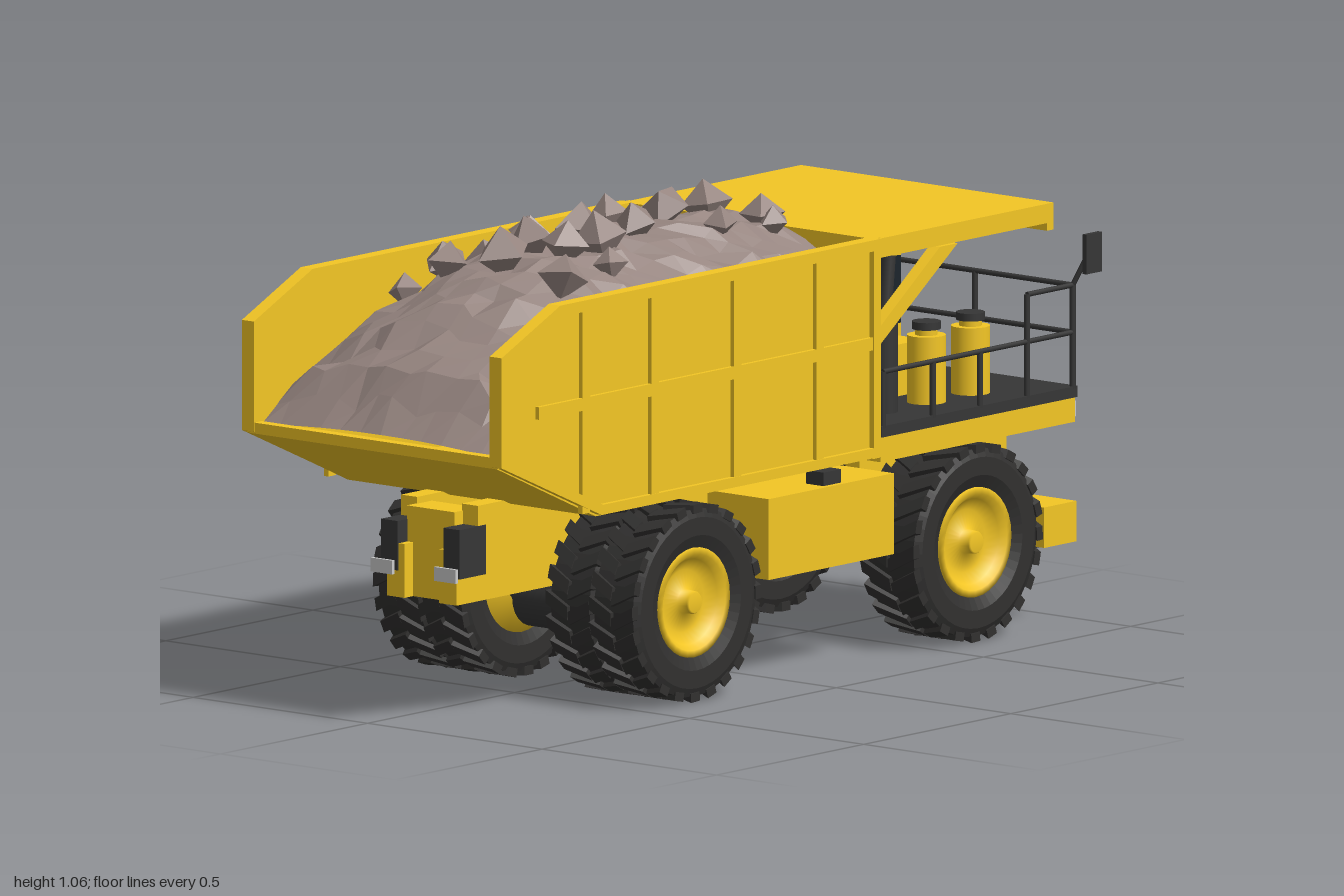
import * as THREE from 'three';
import { mergeGeometries } from 'three/addons/utils/BufferGeometryUtils.js';

const mat = (color, extra = {}) => new THREE.MeshStandardMaterial({ color, ...extra });
const yellow = mat(0xf3c625), dark = mat(0x363636), rubber = mat(0x31302f, { flatShading: true });
const glass = mat(0x1c252b), pale = mat(0xcccccc);
const rock = mat(0x978681, { flatShading: true, side: THREE.DoubleSide });
const hash = (i, j) => { const s = Math.sin(i * 127.1 + j * 311.7) * 43758.5453; return s - Math.floor(s); };

function mesh(parent, name, geo, material) {
  const m = new THREE.Mesh(geo, material);
  m.name = name;
  parent.add(m);
  return m;
}
// Box given by its limits
function box(parent, name, material, x0, x1, y0, y1, z0, z1) {
  const g = new THREE.BoxGeometry(x1 - x0, y1 - y0, z1 - z0);
  g.translate((x0 + x1) / 2, (y0 + y1) / 2, (z0 + z1) / 2);
  return mesh(parent, name, g, material);
}
// Round bar between two points
function bar(parent, name, material, a, b, r, sides = 8) {
  const A = new THREE.Vector3(...a), B = new THREE.Vector3(...b), d = B.clone().sub(A);
  const m = mesh(parent, name, new THREE.CylinderGeometry(r, r, d.length(), sides), material);
  m.position.copy(A).add(B).multiplyScalar(0.5);
  m.quaternion.setFromUnitVectors(new THREE.Vector3(0, 1, 0), d.normalize());
  return m;
}
// Side profile of [z, y] points stretched from x0 to x1
function profile(parent, name, material, pts, x0, x1, hole) {
  const shape = new THREE.Shape(pts.map(p => new THREE.Vector2(...p)));
  if (hole) shape.holes.push(new THREE.Path(hole.map(p => new THREE.Vector2(...p))));
  const g = new THREE.ExtrudeGeometry(shape, { depth: x1 - x0, bevelEnabled: false });
  g.rotateY(-Math.PI / 2).translate(x1, 0, 0);
  return mesh(parent, name, g, material);
}
// Limits in x on one side of the truck
const spanOf = s => (a, b) => s > 0 ? [a, b] : [-b, -a];

// Tyre with slanted lugs, axis along x, outer face at +x
function tyre(parent, w) {
  const h = w / 2, R = 0.209;
  const pts = [[0.118, -h * 0.8], [0.15, -h], [0.19, -h], [R, -h * 0.88], [R, h * 0.88], [0.19, h], [0.15, h], [0.118, h * 0.8], [0.118, -h * 0.8]];
  const carcass = new THREE.LatheGeometry(pts.map(p => new THREE.Vector2(...p)), 44).rotateZ(-Math.PI / 2);
  mesh(parent, 'tyre', carcass, rubber);
  const lugs = [];
  for (let i = 0; i < 24; i++) for (const s of [-1, 1]) {
    const g = new THREE.BoxGeometry(h * 0.98, 0.02, 0.03);
    const p = g.attributes.position;
    for (let k = 0; k < p.count; k++) p.setZ(k, p.getZ(k) - s * p.getX(k) * 0.5);
    g.translate(s * h * 0.5, R, 0).computeVertexNormals();
    lugs.push(g.rotateX(((i + (s > 0 ? 0.2 : 0)) / 24) * Math.PI * 2));
  }
  mesh(parent, 'treadLugs', mergeGeometries(lugs), rubber);
}
// Rim with dished disc and hub
function rim(parent, w) {
  const pts = [[0, -0.004], [0.022, -0.004], [0.025, -0.008], [0.027, -0.034], [0.07, -0.04], [0.095, -0.022], [0.107, -0.008], [0.122, -0.008], [0.122, -w + 0.008], [0, -w + 0.008]];
  const g = new THREE.LatheGeometry(pts.map(p => new THREE.Vector2(...p)).reverse(), 32).rotateZ(-Math.PI / 2).translate(w / 2, 0, 0);
  mesh(parent, 'rim', g, yellow);
}
function wheel(parent, name, side, x, z, w) {
  const g = new THREE.Group();
  g.name = name;
  tyre(g, w);
  rim(g, w);
  g.position.set(side * x, 0.22, z);
  if (side < 0) g.rotation.y = Math.PI;
  parent.add(g);
}

// Height of the load
const ridge = [[-0.3, 0.95], [-0.1, 0.985], [0.25, 0.98], [0.52, 0.96], [0.7, 0.89], [0.86, 0.775], [0.98, 0.625]];
function heapHeight(x, z) {
  let k = 0;
  while (k < ridge.length - 2 && z > ridge[k + 1][0]) k++;
  const [a, b] = [ridge[k], ridge[k + 1]];
  const y = a[1] + (b[1] - a[1]) * (z - a[0]) / (b[0] - a[0]);
  return y - 0.15 * Math.pow(Math.abs(x) / 0.34, 2.2) * Math.max(0, (y - 0.6) / 0.35);
}

function addLoad(t) {
  const nx = 12, nz = 24, g = new THREE.PlaneGeometry(0.69, 1.25, nx, nz).rotateX(-Math.PI / 2).translate(0, 0, 0.345);
  const p = g.attributes.position;
  for (let i = 0; i < p.count; i++) {
    const c = i % (nx + 1), r = Math.floor(i / (nx + 1)), inner = c > 0 && c < nx && r > 0 && r < nz ? 1 : 0;
    const x = p.getX(i) + inner * (hash(c, r) - 0.5) * 0.03, z = p.getZ(i) + inner * (hash(r, c + 40) - 0.5) * 0.03;
    p.setXYZ(i, x, heapHeight(x, z) + inner * (hash(c + 9, r + 5) - 0.5) * 0.035, z);
  }
  g.computeVertexNormals();
  mesh(t, 'rockHeap', g, rock);
  const spots = [[-0.28, -0.22], [-0.2, -0.19], [-0.07, -0.22], [0.09, -0.22], [0.14, -0.2], [0.13, -0.03], [-0.02, -0.02], [-0.14, 0.03], [0.04, 0.15], [-0.26, 0.3], [-0.16, 0.27], [-0.12, 0.33], [-0.01, 0.28], [0.07, 0.31], [0.17, 0.39], [-0.05, 0.4], [0.05, 0.4], [-0.3, 0.53], [-0.2, 0.51], [-0.16, 0.55], [-0.02, 0.53], [0.16, 0.54]];
  spots.forEach(([x, z], i) => {
    const s = 0.036 + 0.03 * hash(i, 3);
    const m = mesh(t, 'boulder', new THREE.OctahedronGeometry(s), rock);
    m.position.set(x, heapHeight(x, z) + 0.025, z);
    m.rotation.set(hash(i, 1) * 0.7 - 0.35, hash(i, 2) * 3, hash(i, 4) * 0.7 - 0.35);
    m.scale.set(1.1, 0.8 + 0.25 * hash(i, 6), 1);
  });
}

function addBed(t) {
  const outline = [[-0.29, 0.46], [0.66, 0.46], [1, 0.61], [1, 0.855], [0.8, 0.945], [-0.29, 0.945]];
  const inset = [[-0.265, 0.482], [0.655, 0.482], [0.978, 0.625], [0.978, 0.84], [0.795, 0.92], [-0.265, 0.92]];
  for (const s of [-1, 1]) {
    const span = spanOf(s);
    profile(t, 'bedSide', yellow, outline, ...span(0.34, 0.36));
    profile(t, 'bedSideFrame', yellow, outline, ...span(0.338, 0.372), inset);
    for (const z of [0.71, 0.475, 0.195, -0.085])
      box(t, 'bedRib', yellow, ...span(0.358, 0.37), 0.47, 0.935, z - 0.013, z + 0.013);
    box(t, 'bedSideStrip', yellow, ...span(0.358, 0.37), 0.7, 0.728, -0.28, 0.87);
    box(t, 'underRail', yellow, ...span(0.064, 0.11), 0.37, 0.465, -0.23, 0.77);
    // Canopy brace
    profile(t, 'canopyBrace', yellow, [[-0.3, 0.7], [-0.3, 0.74], [-0.51, 0.895], [-0.57, 0.895]], ...span(0.325, 0.355));
  }
  profile(t, 'bedFloor', yellow, [[-0.29, 0.455], [0.66, 0.455], [0.995, 0.605], [0.995, 0.63], [0.65, 0.49], [-0.29, 0.49]], -0.355, 0.355);
  box(t, 'tailLip', yellow, -0.36, 0.36, 0.607, 0.63, 0.972, 0.998);
  box(t, 'headboard', yellow, -0.36, 0.36, 0.455, 0.945, -0.302, -0.275);
  box(t, 'canopy', yellow, -0.362, 0.362, 0.9, 0.943, -0.885, -0.29);
  box(t, 'canopyFrontEdge', yellow, -0.362, 0.362, 0.883, 0.943, -0.888, -0.865);
  for (const x of [-0.2, 0, 0.2]) box(t, 'canopyBeam', yellow, x - 0.015, x + 0.015, 0.875, 0.905, -0.74, -0.3);
}

function addChassis(t) {
  for (const s of [-1, 1]) {
    const span = spanOf(s);
    box(t, 'frameRail', yellow, ...span(0.05, 0.1), 0.25, 0.37, -0.9, 0.83);
    box(t, 'sideTank', yellow, ...span(0.17, 0.345), 0.23, 0.41, -0.365, 0.06);
    box(t, 'tankBracket', dark, ...span(0.3, 0.35), 0.415, 0.445, -0.18, -0.12);
    bar(t, 'hoistCylinder', dark, [s * 0.03, 0.28, 0.25], [s * 0.03, 0.44, -0.12], 0.02, 12);
    box(t, 'rearLampHousing', dark, ...span(0.066, 0.112), 0.31, 0.42, 0.745, 0.835);
    box(t, 'rearLamp', pale, ...span(0.06, 0.122), 0.305, 0.336, 0.852, 0.86);
    bar(t, 'rearLampArm', dark, [s * 0.09, 0.32, 0.83], [s * 0.09, 0.32, 0.855], 0.006);
    for (const x of [0.185, 0.309]) wheel(t, 'rearWheel', s, x, 0.336, 0.126);
    wheel(t, 'frontWheel', s, 0.283, -0.634, 0.155);
  }
  box(t, 'rearCrossmember', yellow, -0.068, 0.068, 0.25, 0.45, 0.72, 0.8);
  box(t, 'midCrossmember', yellow, -0.2, 0.2, 0.26, 0.36, -0.3, 0);
  bar(t, 'rearAxle', dark, [-0.3, 0.215, 0.336], [0.3, 0.215, 0.336], 0.05, 20);
  bar(t, 'differential', dark, [-0.076, 0.195, 0.36], [0.076, 0.195, 0.36], 0.073, 24);
  bar(t, 'driveShaft', dark, [0, 0.26, 0.3], [0, 0.3, -0.45], 0.022, 12);
  bar(t, 'frontAxle', dark, [-0.28, 0.22, -0.634], [0.28, 0.22, -0.634], 0.045, 16);
  box(t, 'engine', dark, -0.16, 0.16, 0.2, 0.4, -0.86, -0.42);
}

function addFront(t) {
  box(t, 'deckBase', yellow, -0.362, 0.362, 0.445, 0.5, -0.96, -0.3);
  box(t, 'deckFloor', dark, -0.365, 0.365, 0.5, 0.525, -0.965, -0.3);
  box(t, 'hood', yellow, -0.2, 0.2, 0.26, 0.45, -0.92, -0.42);
  box(t, 'grille', dark, -0.165, 0.165, 0.3, 0.43, -0.925, -0.915);
  for (let i = 0; i < 6; i++) box(t, 'grilleSlat', yellow, -0.165, 0.165, 0.305 + i * 0.022, 0.316 + i * 0.022, -0.933, -0.915);
  for (const x of [-0.165, -0.055, 0.055, 0.165]) box(t, 'grillePost', yellow, x - 0.006, x + 0.006, 0.295, 0.435, -0.935, -0.915);
  box(t, 'bumper', yellow, -0.35, 0.35, 0.175, 0.265, -0.98, -0.87);
  box(t, 'bumperStep', dark, -0.3, 0.3, 0.165, 0.177, -0.97, -0.85);
  for (const s of [-1, 1]) {
    for (const x of [0.335, 0.285]) box(t, 'headlight', pale, s * x - 0.02, s * x + 0.02, 0.455, 0.49, -0.972, -0.955);
    box(t, 'foglight', dark, s * 0.18 - 0.018, s * 0.18 + 0.018, 0.2, 0.24, -0.987, -0.975);
    box(t, 'bumperLamp', pale, s * 0.31 - 0.02, s * 0.31 + 0.02, 0.205, 0.235, -0.985, -0.975);
    box(t, 'bumperArm', yellow, s * 0.15 - 0.03, s * 0.15 + 0.03, 0.22, 0.32, -0.9, -0.8);
  }
  // Cab with windows
  box(t, 'cab', yellow, -0.3, -0.01, 0.525, 0.81, -0.81, -0.38);
  box(t, 'cabRoof', yellow, -0.315, 0.005, 0.81, 0.848, -0.83, -0.37);
  box(t, 'windscreen', glass, -0.29, -0.02, 0.645, 0.795, -0.816, -0.8);
  for (const [z0, z1] of [[-0.803, -0.61], [-0.595, -0.385]]) box(t, 'sideWindow', glass, -0.306, -0.004, 0.645, 0.795, z0, z1);
  for (const x of [-0.25, -0.06]) box(t, 'roofLamp', pale, x - 0.02, x + 0.02, 0.822, 0.842, -0.842, -0.828);
  // Air cleaners and exhaust
  for (const z of [-0.6, -0.75]) {
    bar(t, 'airCleaner', yellow, [0.24, 0.525, z], [0.24, 0.675, z], 0.043, 20);
    bar(t, 'airCleanerNeck', yellow, [0.24, 0.67, z], [0.24, 0.69, z], 0.025, 16);
    bar(t, 'airCleanerCap', dark, [0.24, 0.688, z], [0.24, 0.705, z], 0.032, 16);
  }
  box(t, 'equipmentCabinet', yellow, 0.03, 0.15, 0.525, 0.64, -0.7, -0.4);
  bar(t, 'exhaust', dark, [0.25, 0.525, -0.445], [0.25, 0.73, -0.445], 0.03, 16);
  bar(t, 'exhaustPipe', dark, [0.25, 0.73, -0.445], [0.25, 0.87, -0.46], 0.016, 12);
  // Handrails around the deck
  const post = (x, z, top = 0.75) => bar(t, 'railPost', dark, [x, 0.52, z], [x, top, z], 0.007);
  for (const y of [0.645, 0.75]) {
    bar(t, 'frontRail', dark, [-0.2, y, -0.955], [0.36, y, -0.955], 0.006);
    bar(t, 'leftRail', dark, [0.36, y, -0.955], [0.36, y, y < 0.7 ? -0.31 : -0.8], 0.006);
    bar(t, 'rightRail', dark, [-0.364, y, -0.86], [-0.364, y, -0.31], 0.006);
  }
  for (const z of [-0.955, -0.8]) post(0.36, z);
  for (const z of [-0.64, -0.48, -0.31]) post(0.36, z, 0.645);
  for (const z of [-0.86, -0.6, -0.31]) post(-0.364, z);
  for (const x of [-0.2, 0.08]) post(x, -0.955);
  // Ladder
  for (const x of [-0.36, -0.265]) {
    bar(t, 'ladderRail', dark, [x, 0.1, -0.992], [x, 0.5, -0.978], 0.007);
    bar(t, 'ladderHandle', dark, [x, 0.5, -0.978], [x, 0.73, -0.965], 0.007);
  }
  for (let i = 0; i < 6; i++) box(t, 'ladderRung', dark, -0.36, -0.265, 0.115 + i * 0.07, 0.125 + i * 0.07, -0.998, -0.972);
  // Mirrors
  bar(t, 'mirrorArm', dark, [0.36, 0.75, -0.955], [0.4, 0.84, -0.975], 0.006);
  box(t, 'mirror', dark, 0.396, 0.408, 0.78, 0.868, -0.998, -0.945);
  bar(t, 'mirrorArm', dark, [-0.364, 0.75, -0.84], [-0.42, 0.76, -0.87], 0.006);
  box(t, 'mirror', dark, -0.433, -0.421, 0.708, 0.793, -0.895, -0.845);
}

export function createModel() {
  const model = new THREE.Group(), truck = new THREE.Group();
  truck.name = 'dumpTruck';
  truck.position.x = 0.012;
  model.add(truck);
  addChassis(truck);
  addBed(truck);
  addLoad(truck);
  addFront(truck);
  return model;
}
